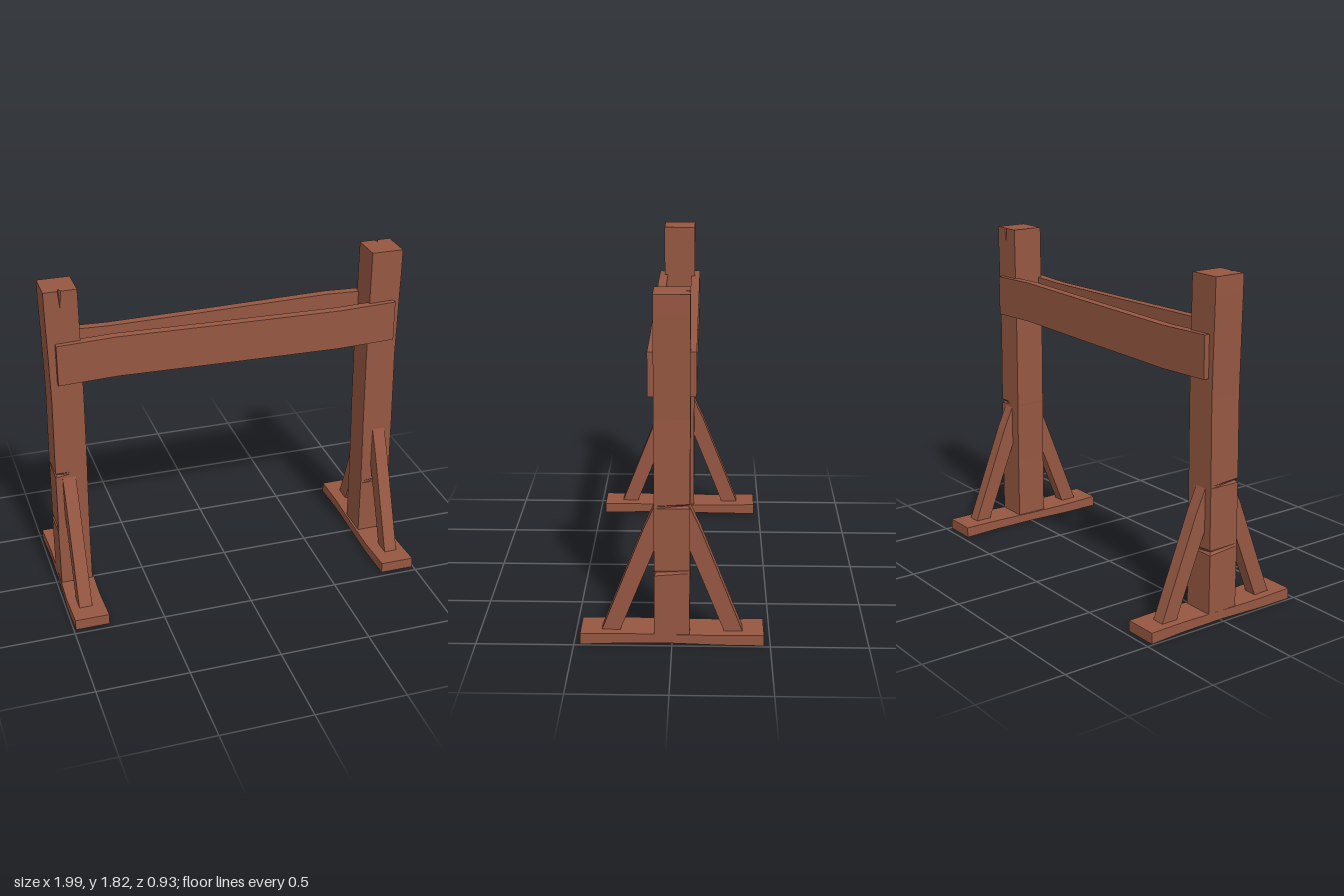
import * as THREE from 'three';

const wood = new THREE.MeshStandardMaterial({ color: 0x965742 });
wood.name = 'reddish wood';

// Joins equal-sized rings of [x, y, z] points into a closed, flat-faced solid.
// Rings run counterclockwise as seen from the end of the travel direction.
function loft(name, rings) {
  const pos = [];
  const tri = (a, b, c) => pos.push(...a, ...b, ...c);
  const n = rings[0].length;
  for (let r = 0; r < rings.length - 1; r++) {
    const a = rings[r], b = rings[r + 1];
    for (let i = 0; i < n; i++) {
      const j = (i + 1) % n;
      tri(a[i], a[j], b[j]);
      tri(a[i], b[j], b[i]);
    }
  }
  const first = rings[0], last = rings[rings.length - 1];
  for (let i = 1; i < n - 1; i++) {
    tri(first[0], first[i + 1], first[i]);
    tri(last[0], last[i], last[i + 1]);
  }
  const geo = new THREE.BufferGeometry();
  geo.setAttribute('position', new THREE.Float32BufferAttribute(pos, 3));
  geo.computeVertexNormals();
  const mesh = new THREE.Mesh(geo, wood);
  mesh.name = name;
  return mesh;
}

// Upright with a split in the top and small nicks on its outer corners
function makePost() {
  const D = 0.09;
  // y, outer x, inner x, split half width, split depth, front nick, back nick
  const levels = [
    [0.04, -0.985, -0.81, 0, 0, 0, 0],
    [0.38, -0.985, -0.81, 0, 0, 0, 0],
    [0.395, -0.985, -0.81, 0, 0, 0, 0.012],
    [0.41, -0.983, -0.81, 0, 0, 0, 0],
    [0.74, -0.98, -0.806, 0, 0, 0, 0],
    [0.752, -0.98, -0.806, 0, 0, 0.012, 0],
    [0.764, -0.98, -0.805, 0, 0, 0, 0],
    [1.2, -0.973, -0.802, 0, 0, 0, 0],
    [1.5, -0.978, -0.804, 0, 0, 0, 0],
    [1.72, -0.983, -0.806, 0, 0, 0, 0],
    [1.82, -0.983, -0.807, 0.009, 0.025, 0, 0],
  ];
  return loft('post', levels.map(([y, xo, xi, w, d, nf, nb]) => [
    [-0.9, y, D - d],
    [-0.9 + w, y, D],
    [xi, y, D],
    [xi, y, -D],
    [xo + nb, y, -D + nb],
    [xo + nf, y, D - nf],
    [-0.9 - w, y, D],
  ]));
}

// Gently bowed floor plank
function makeFoot() {
  const stations = [ // z, centre x, bottom, top
    [-0.467, -0.897, 0, 0.06],
    [-0.25, -0.888, 0.004, 0.058],
    [0, -0.892, 0.008, 0.056],
    [0.25, -0.9, 0.004, 0.058],
    [0.467, -0.895, 0, 0.06],
  ];
  const h = 0.094;
  return loft('foot', stations.map(([z, x, b, t]) =>
    [[x - h, b, z], [x + h, b, z], [x + h, t, z], [x - h, t, z]]));
}

// Diagonal strut, running up into the post
function makeBrace(name) {
  const stations = [ // inner z, inner y, outer z, outer y
    [0.268, 0.05, 0.362, 0.05],
    [0.17, 0.3, 0.25, 0.34],
    [0.09, 0.5, 0.145, 0.61],
    [0.07, 0.55, 0.075, 0.765],
  ];
  const h = 0.036;
  return loft(name, stations.map(([zi, yi, zo, yo]) =>
    [[-h, yi, zi], [-h, yo, zo], [h, yo, zo], [h, yi, zi]]));
}

function makeSupport() {
  const group = new THREE.Group();
  const front = makeBrace('frontBrace');
  front.position.x = -0.907;
  const back = makeBrace('backBrace');
  back.rotation.y = Math.PI;
  back.position.x = -0.902;
  group.add(makePost(), makeFoot(), front, back);
  return group;
}

// Slightly warped crossboard
function makeBoard() {
  const stations = [ // x, centre y
    [-0.938, 1.417], [-0.62, 1.428], [0, 1.417], [0.62, 1.408], [0.944, 1.418],
  ];
  const h = 0.113, z0 = 0.07, z1 = 0.12;
  return loft('board', stations.map(([x, y]) =>
    [[x, y - h, z0], [x, y + h, z0], [x, y + h, z1], [x, y - h, z1]]));
}

export function createModel() {
  const model = new THREE.Group();
  model.name = 'hitchingRail';
  // Each half is the other turned half way round
  [['right', 'front', 0], ['left', 'back', Math.PI]].forEach(([side, face, turn]) => {
    const support = makeSupport();
    support.name = side + 'Support';
    support.rotation.y = turn;
    const board = makeBoard();
    board.name = face + 'Board';
    board.rotation.y = turn;
    model.add(support, board);
  });
  return model;
}
